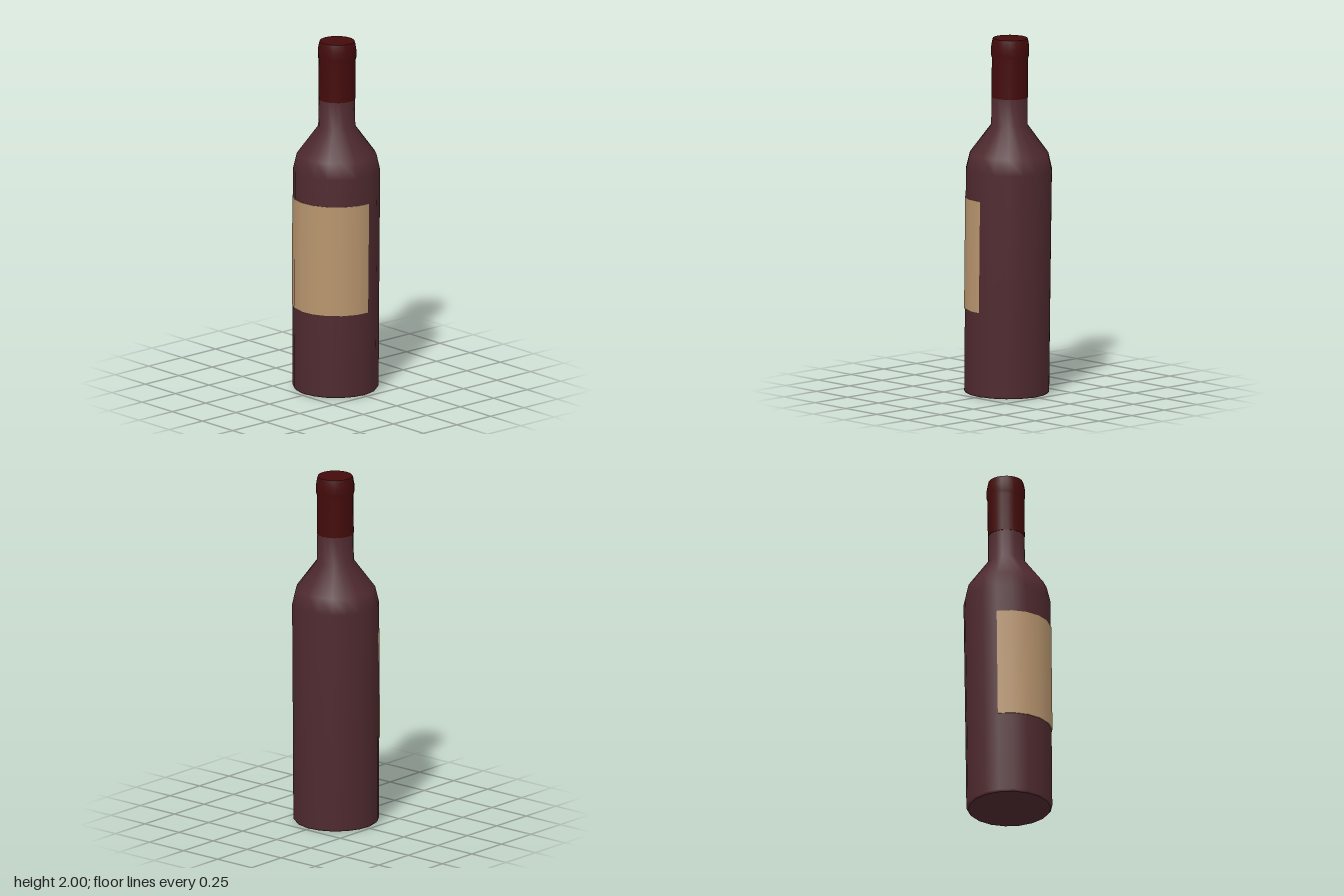
import * as THREE from 'three';

const SIDES = 18;
const deg = THREE.MathUtils.degToRad;
const START = -4; // angle of the first edge, in degrees from +z

// One smooth turned surface per profile; separate profiles meet in sharp edges.
function turned(name, color, profiles, from = START, sides = SIDES) {
  const group = new THREE.Group();
  group.name = name;
  const material = new THREE.MeshStandardMaterial({ color, side: THREE.DoubleSide });
  profiles.forEach((profile, i) => {
    const points = profile.map(([r, y]) => new THREE.Vector2(r, y));
    const geometry = new THREE.LatheGeometry(points, sides, deg(from), deg(sides * 360 / SIDES));
    const mesh = new THREE.Mesh(geometry, material);
    mesh.name = `${name}Surface${i + 1}`;
    group.add(mesh);
  });
  return group;
}

export function createModel() {
  const model = new THREE.Group();
  model.name = 'bottle';

  // Glass: flat base, body, shoulder and neck
  const glass = turned('glass', 0x4f2a2f, [
    [[0, 0.002], [0.23, 0.002]],
    [[0.23, 0.002], [0.239, 0.014], [0.24, 0.6], [0.242, 1.26], [0.221, 1.35], [0.103, 1.51], [0.1, 1.7]],
  ]);

  // Foil sleeve over the mouth, with a raised lip
  const foil = turned('foilCap', 0x440b0b, [
    [[0.098, 1.667], [0.103, 1.667]],
    [[0.103, 1.667], [0.102, 1.89], [0.107, 1.905], [0.107, 1.95], [0.101, 1.985], [0.097, 1.999]],
    [[0.097, 1.999], [0, 1.999]],
  ]);

  // Paper label wrapped around eight of the sides
  const label = turned('label', 0xb8956e, [
    [[0.239, 0.478], [0.2445, 0.478]],
    [[0.2445, 0.478], [0.2445, 1.105]],
    [[0.2445, 1.105], [0.24, 1.105]],
  ], START - 60, 8);

  // The bottle leans very slightly back and to its right
  const leaning = new THREE.Group();
  leaning.name = 'leaningBottle';
  leaning.add(glass, foil, label);
  leaning.position.set(0.0015, 0, 0.007);
  leaning.rotation.set(-0.0098, 0, 0.0042);
  model.add(leaning);
  return model;
}
